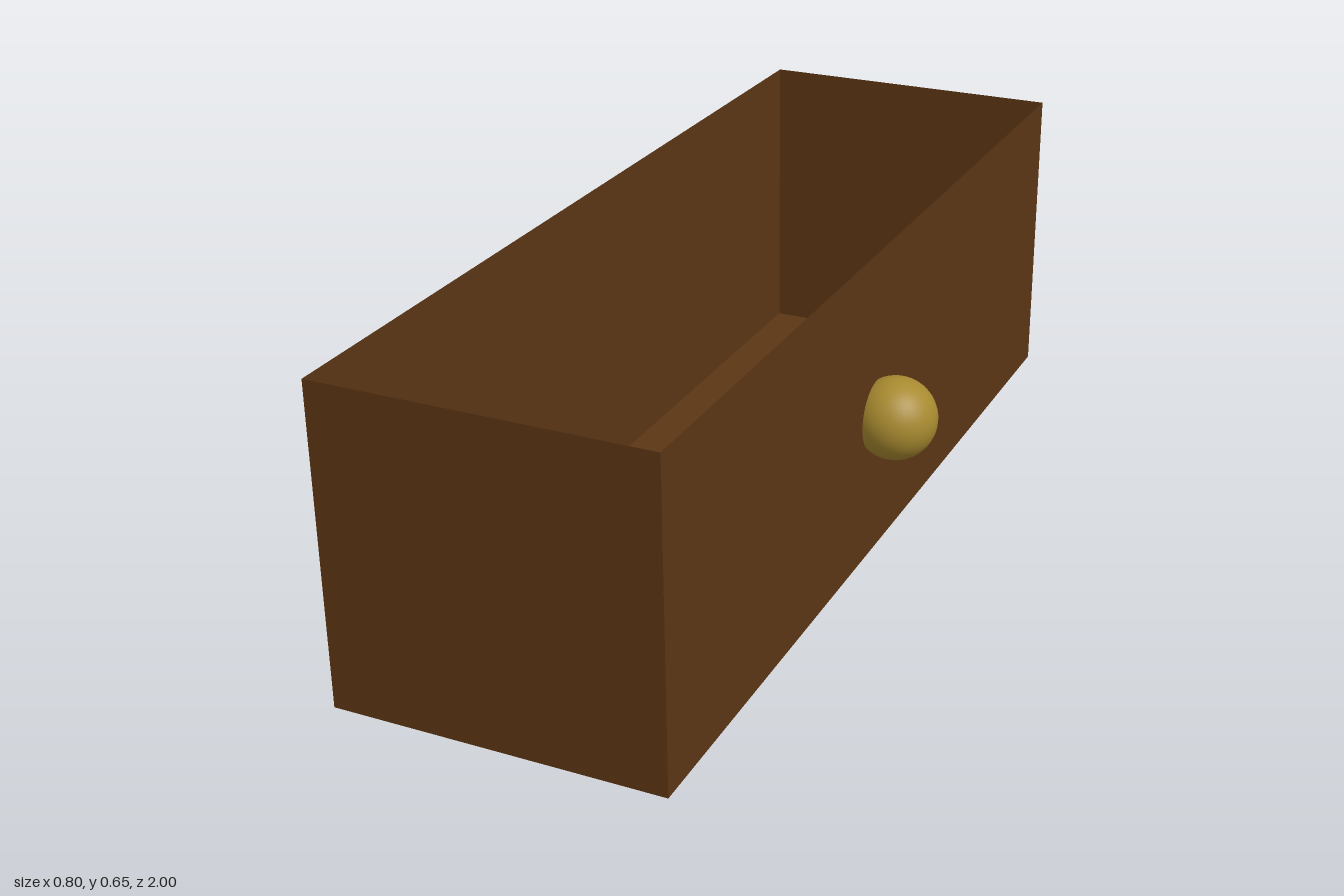
import * as THREE from 'three';

export function createModel() {
  const group = new THREE.Group();
  const wood = new THREE.MeshStandardMaterial({ color: 0x5c3614, side: THREE.DoubleSide });
  const brass = new THREE.MeshStandardMaterial({ color: 0xa88a30 });

  const width = 0.673, height = 0.653, length = 2;
  const drawer = new THREE.Group();
  drawer.name = 'drawer';
  drawer.position.x = -0.4 + width / 2;
  group.add(drawer);

  // Thin panel, facing outward
  const panel = (name, w, h, position, rotX, rotY) => {
    const mesh = new THREE.Mesh(new THREE.PlaneGeometry(w, h), wood);
    mesh.name = name;
    mesh.position.set(...position);
    mesh.rotation.set(rotX, rotY, 0);
    drawer.add(mesh);
  };

  // Open-topped box: bottom and two pairs of walls
  panel('bottomPanel', width, length, [0, 0, 0], Math.PI / 2, 0);
  for (const s of [1, -1]) {
    panel(s > 0 ? 'frontWall' : 'backWall', width, height,
      [0, height / 2, s * length / 2], 0, s > 0 ? 0 : Math.PI);
    panel(s > 0 ? 'leftWall' : 'rightWall', length, height,
      [s * width / 2, height / 2, 0], 0, s * Math.PI / 2);
  }

  // Round knob, set partly through the left wall
  const knob = new THREE.Mesh(new THREE.SphereGeometry(0.085, 32, 24), brass);
  knob.name = 'knob';
  knob.position.set(0.315, 0.305, 0.055);
  group.add(knob);

  return group;
}
